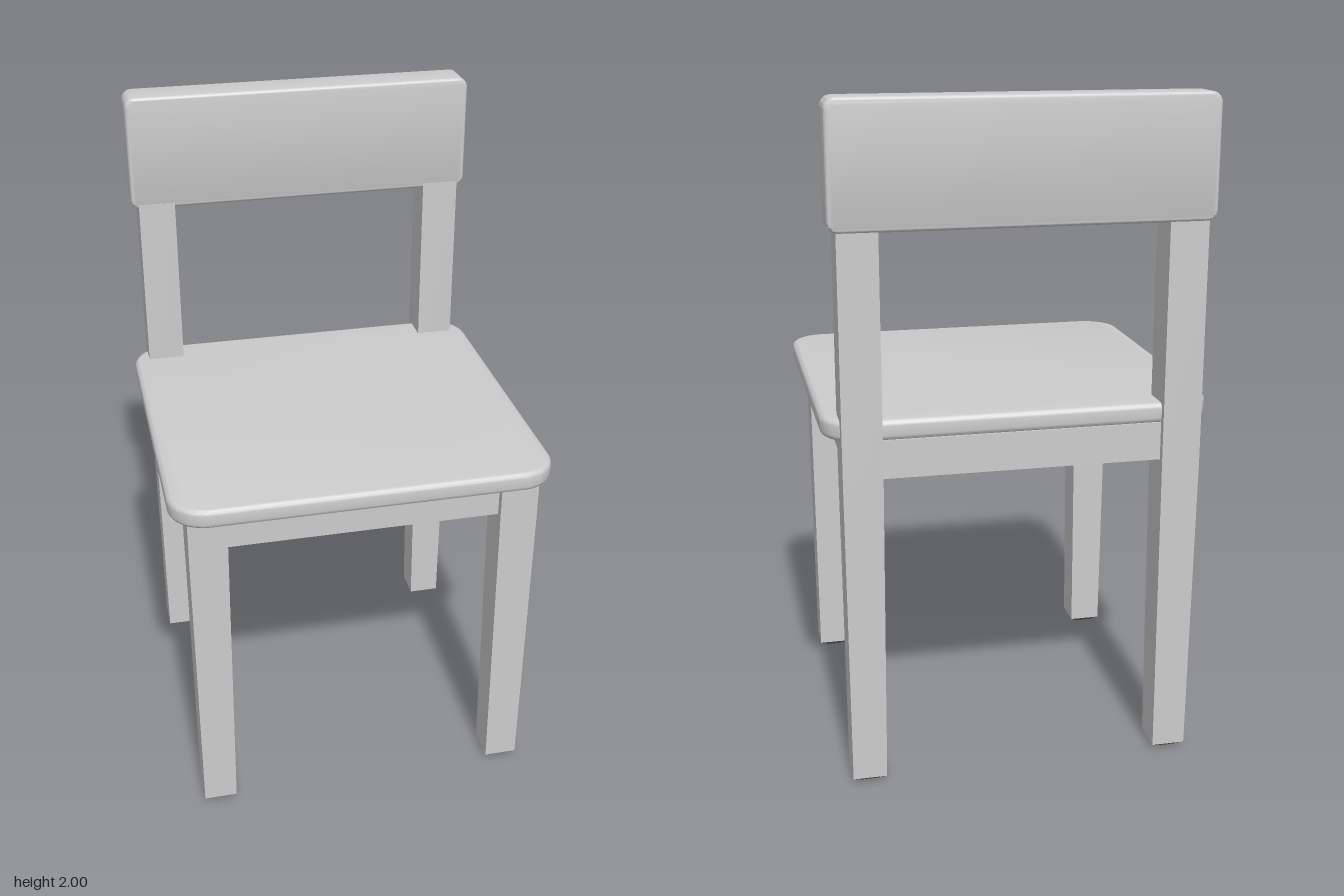
import * as THREE from 'three';
import { toCreasedNormals } from 'three/addons/utils/BufferGeometryUtils.js';

const paint = new THREE.MeshStandardMaterial({ color: 0xcccccc });
paint.name = 'light grey paint';
const metal = new THREE.MeshStandardMaterial({ color: 0x3a403b });
metal.name = 'dark fittings';

// Rounded rectangle panel with softened edges; w, h, d are overall sizes, centred
function panel(w, h, d, radius, bevel) {
  const x = w / 2 - bevel, y = h / 2 - bevel, r = radius - bevel;
  const s = new THREE.Shape();
  s.absarc(x - r, y - r, r, 0, Math.PI / 2);
  s.absarc(-x + r, y - r, r, Math.PI / 2, Math.PI);
  s.absarc(-x + r, -y + r, r, Math.PI, Math.PI * 1.5);
  s.absarc(x - r, -y + r, r, Math.PI * 1.5, Math.PI * 2);
  s.closePath();
  const g = new THREE.ExtrudeGeometry(s, {
    depth: d - 2 * bevel, bevelEnabled: true, bevelSize: bevel,
    bevelThickness: bevel, bevelSegments: 4, curveSegments: 10,
  });
  g.translate(0, 0, -d / 2 + bevel);
  return toCreasedNormals(g, 0.6);
}

// Square leg that narrows below the apron
function legGeometry(bottom, top, width, outerSide, taperZ) {
  const start = 0.95;
  const g = new THREE.BoxGeometry(width, top - bottom, width, 1, 2, 1);
  g.translate(0, (top + bottom) / 2, 0);
  const p = g.attributes.position;
  for (let i = 0; i < p.count; i++) {
    const y = p.getY(i);
    if (y < bottom + 0.01) {
      p.setX(i, p.getX(i) * 0.88);
      if (Math.sign(p.getZ(i)) === taperZ) p.setZ(i, p.getZ(i) * 0.82);
    } else if (y < top - 0.01) p.setY(i, start);
  }
  g.computeVertexNormals();
  return toCreasedNormals(g, 0.3);
}

export function createModel() {
  const chair = new THREE.Group();
  chair.name = 'chair';
  const add = (name, geometry, material, x, y, z) => {
    const m = new THREE.Mesh(geometry, material);
    m.name = name;
    m.position.set(x, y, z);
    chair.add(m);
    return m;
  };
  const box = (name, material, w, h, d, x, y, z) =>
    add(name, new THREE.BoxGeometry(w, h, d), material, x, y, z);

  // Seat and backrest
  add('seat', panel(1.14, 1.07, 0.06, 0.11, 0.016).rotateX(-Math.PI / 2), paint, 0, 1.088, 0.01);
  add('backrest', panel(1.09, 0.355, 0.118, 0.032, 0.01), paint, 0, 1.8225, -0.489);

  // Legs, foot pads and side aprons
  for (const s of [-1, 1]) {
    add('frontLeg', legGeometry(0.015, 1.062, 0.114, s, -1), paint, s * 0.465, 0, 0.443);
    add('backLeg', legGeometry(0.015, 1.66, 0.114, s, -1), paint, s * 0.465, 0, -0.486);
    for (const z of [0.443, -0.483]) {
      box('footPad', metal, 0.086, 0.006, 0.086, s * 0.465, 0.013, z);
      box('footPadBase', metal, 0.06, 0.012, 0.06, s * 0.465, 0.006, z);
    }
    box('sideApron', paint, 0.05, 0.113, 0.83, s * 0.475, 1.0035, -0.02);
  }

  // Front and back aprons with metal rails on their inner faces
  for (const [apronZ, railZ] of [[0.455, 0.428], [-0.5, -0.473]]) {
    box('crossApron', paint, 0.83, 0.113, 0.045, 0, 1.0035, apronZ);
    box('innerRail', metal, 0.82, 0.09, 0.014, 0, 1.005, railZ);
  }

  // Corner brackets with hanging bolts
  for (const s of [-1, 1]) {
    for (const z of [0.377, -0.417]) {
      box('cornerBracket', metal, 0.055, 0.012, 0.03, s * 0.387, 0.95, z);
      for (const x of [0.376, 0.4]) {
        add('bolt', new THREE.CylinderGeometry(0.005, 0.005, 0.03, 8), metal, s * x, 0.935, z);
        add('boltHead', new THREE.CylinderGeometry(0.008, 0.01, 0.01, 8), metal, s * x, 0.925, z);
      }
    }
  }
  return chair;
}
